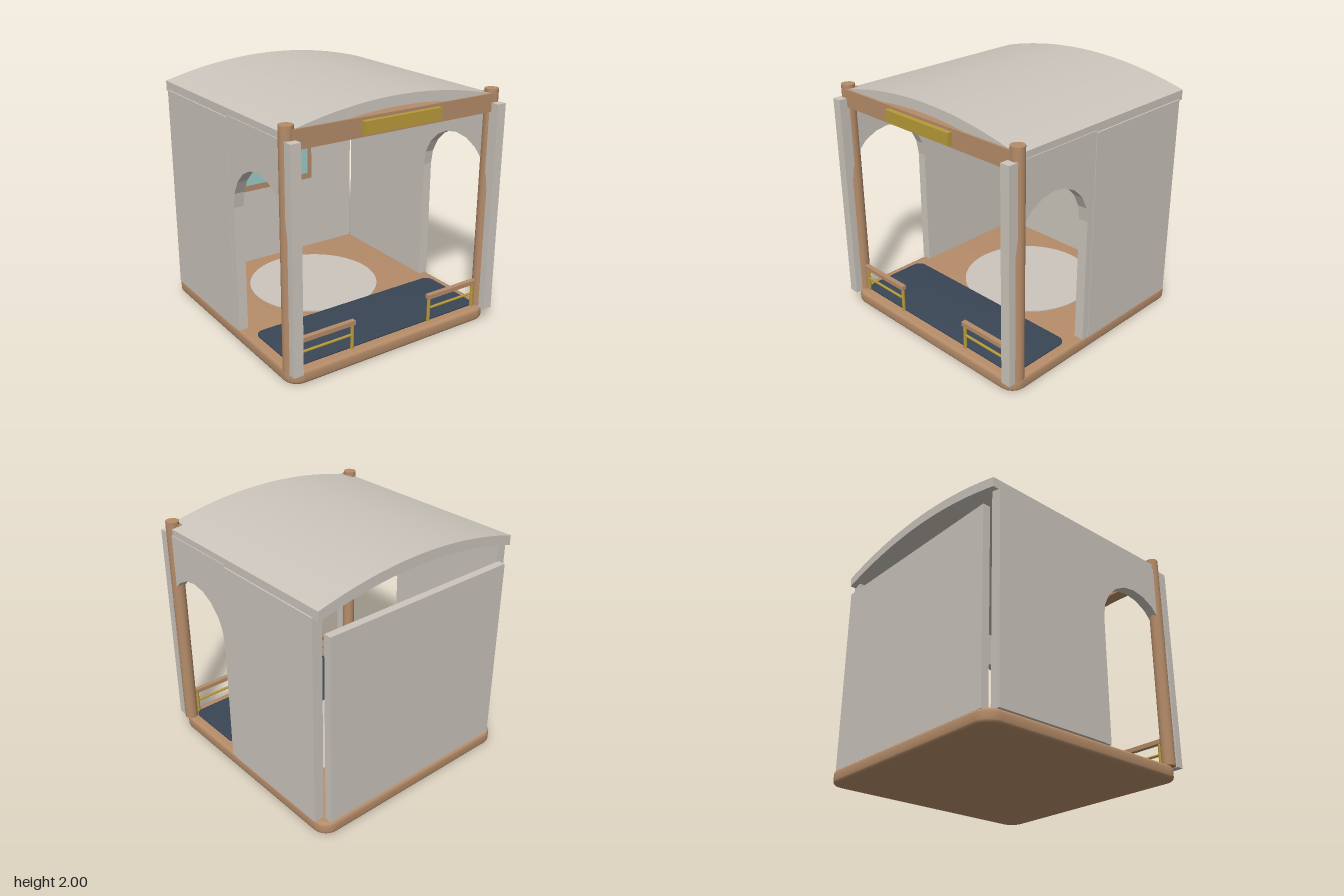
import * as THREE from 'three';
import { toCreasedNormals } from 'three/addons/utils/BufferGeometryUtils.js';

const material = (name, color) => {
  const m = new THREE.MeshStandardMaterial({ color });
  m.name = name;
  return m;
};

export function createModel() {
  const plaster = material('warm grey plaster', 0xcbc5bc);
  const wood = material('wood', 0xb58c69);
  const brass = material('brass', 0xb89a3a);
  const navy = material('navy', 0x3a4656);
  const glass = material('pale teal glass', 0x9bcac7);
  const model = new THREE.Group();
  model.name = 'pavilion';

  const add = (name, geometry, mat, parent = model) => {
    const mesh = new THREE.Mesh(geometry, mat);
    mesh.name = name;
    parent.add(mesh);
    return mesh;
  };

  // Box given by its minimum and maximum on each axis
  const box = (name, mat, [x0, x1], [y0, y1], [z0, z1], parent) => {
    const mesh = add(name, new THREE.BoxGeometry(x1 - x0, y1 - y0, z1 - z0), mat, parent);
    mesh.position.set((x0 + x1) / 2, (y0 + y1) / 2, (z0 + z1) / 2);
  };

  // Horizontal slab with rounded corners and a softened edge
  const slab = (name, mat, w, d, r, h, bevel, y, z) => {
    const a = w / 2 - bevel, b = d / 2 - bevel, c = r - bevel;
    const s = new THREE.Shape();
    s.absarc(a - c, b - c, c, 0, Math.PI / 2);
    s.absarc(c - a, b - c, c, Math.PI / 2, Math.PI);
    s.absarc(c - a, c - b, c, Math.PI, Math.PI * 1.5);
    s.absarc(a - c, c - b, c, Math.PI * 1.5, Math.PI * 2);
    const g = new THREE.ExtrudeGeometry(s, {
      depth: h - 2 * bevel, bevelSize: bevel, bevelThickness: bevel, bevelSegments: 3, curveSegments: 6,
    });
    g.translate(0, 0, bevel).rotateX(-Math.PI / 2);
    add(name, toCreasedNormals(g, 0.7), mat).position.set(0, y, z);
  };

  // Floor
  slab('base', wood, 1.89, 1.93, 0.12, 0.105, 0.025, 0, -0.017);
  slab('entranceMat', navy, 1.74, 0.585, 0.07, 0.014, 0.003, 0.105, 0.577);
  add('floorDisc', new THREE.CylinderGeometry(0.55, 0.55, 0.008, 48), plaster).position.set(0, 0.109, -0.22);

  // Arched side wall outline; shape x runs along z
  const arch = new THREE.Shape();
  arch.moveTo(0.115, 0.105);
  arch.lineTo(0.175, 0.105);
  for (let i = 0; i <= 10; i++) {
    const t = Math.PI * (1 - i / 10);
    arch.lineTo(0.55 + 0.375 * Math.cos(t), 1.13 + 0.375 * Math.sin(t));
  }
  arch.lineTo(0.925, 0.105);
  arch.lineTo(0.985, 0.105);
  arch.lineTo(0.985, 1.82);
  arch.lineTo(0.115, 1.82);
  const archGeometry = new THREE.ExtrudeGeometry(arch, { depth: 0.08, bevelEnabled: false });
  archGeometry.translate(0, 0, -0.04).rotateY(-Math.PI / 2);

  for (const side of [-1, 1]) {
    const label = side > 0 ? 'left' : 'right';
    add(label + 'ArchedWall', archGeometry, plaster).position.x = side * 0.907;
    const rear = [0.868, 0.952].map((v) => v * side).sort((a, b) => a - b);
    box(label + 'RearWall', plaster, rear, [0.105, 1.805], [-0.885, 0.115]);

    // Corner post
    add(label + 'Post', new THREE.CylinderGeometry(0.053, 0.053, 1.815, 24), wood)
      .position.set(side * 0.909, 1.0125, 0.867);

    // Low railing beside the entrance
    const rail = new THREE.Group();
    rail.name = label + 'Railing';
    rail.position.set(side * 0.6, 0, 0.875);
    model.add(rail);
    box('handrail', wood, [-0.248, 0.248], [0.305, 0.34], [-0.02, 0.02], rail);
    for (const x of [-0.23, 0.23]) {
      add('railingLeg', new THREE.CylinderGeometry(0.014, 0.014, 0.2, 10), brass, rail).position.set(x, 0.205, 0);
    }
    const bar = add('railingBar', new THREE.CylinderGeometry(0.011, 0.011, 0.46, 10), brass, rail);
    bar.rotation.z = Math.PI / 2;
    bar.position.y = 0.22;
  }

  // Back wall with framed window on its inner face
  box('backWall', plaster, [-0.865, 0.865], [0.105, 1.667], [-0.965, -0.902]);
  box('windowFrame', wood, [-0.415, 0.415], [0.79, 1.385], [-0.904, -0.883]);
  box('windowPane', glass, [-0.37, 0.37], [0.845, 1.33], [-0.884, -0.879]);

  // Front beam and blank plaque
  box('frontBeam', wood, [-0.9, 0.9], [1.75, 1.892], [0.805, 0.918]);
  box('plaque', brass, [-0.34, 0.34], [1.775, 1.87], [0.915, 0.957]);

  // Shallow curved roof
  const roof = new THREE.Shape();
  const n = 24;
  const drop = (x) => 0.13 * (x / 0.94) ** 2;
  for (let i = 0; i <= n; i++) {
    const x = -0.94 + 1.88 * i / n;
    if (i === 0) roof.moveTo(x, 1.92 - drop(x));
    else roof.lineTo(x, 1.92 - drop(x));
  }
  for (let i = n; i >= 0; i--) {
    const x = -0.94 + 1.88 * i / n;
    roof.lineTo(x, 2 - drop(x));
  }
  const roofGeometry = new THREE.ExtrudeGeometry(roof, { depth: 1.838, bevelEnabled: false });
  roofGeometry.translate(0, 0, -0.936);
  add('roof', toCreasedNormals(roofGeometry, 0.5), plaster);

  // Small round ceiling lamp
  add('ceilingLamp', new THREE.SphereGeometry(0.1, 24, 16), navy).position.set(0, 1.83, 0);

  return model;
}
